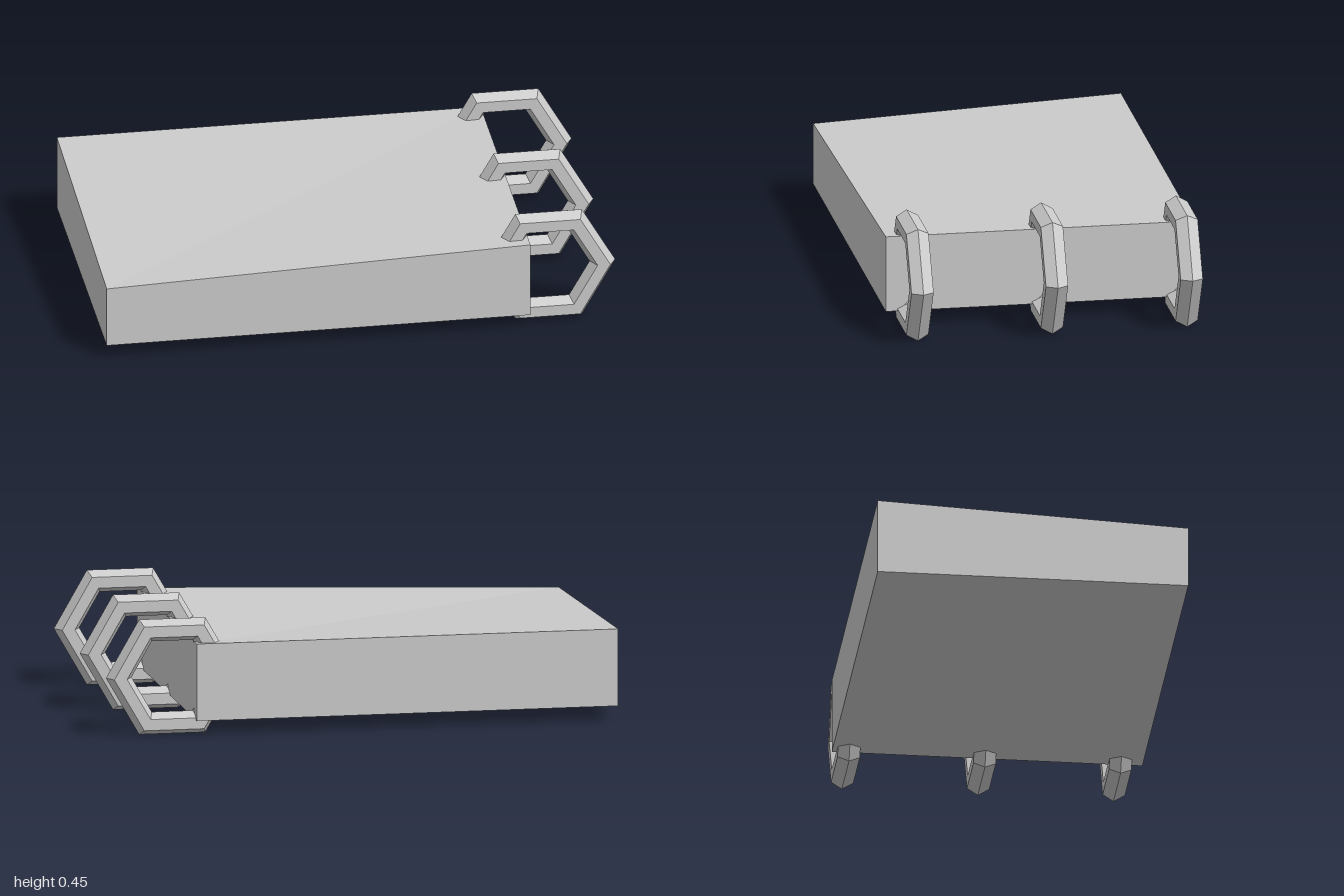
import * as THREE from 'three';

export function createModel() {
  const group = new THREE.Group();
  const material = new THREE.MeshStandardMaterial({ color: 0xcccccc, flatShading: true });

  // Slab whose front right top corner sags a little
  const slab = new THREE.BoxGeometry(1.655, 0.302, 1.204);
  slab.translate(-0.1725, 0.207, 0);
  const pos = slab.attributes.position;
  for (let i = 0; i < pos.count; i++) {
    if (pos.getX(i) < 0 && pos.getY(i) > 0.2 && pos.getZ(i) > 0) pos.setY(i, 0.3);
  }
  slab.computeVertexNormals();
  const cover = new THREE.Mesh(slab, material);
  cover.name = 'slab';
  group.add(cover);

  // Six-sided binding rings passing through the slab's left edge
  const ringGeometry = new THREE.TorusGeometry(0.21, 0.05, 6, 6);
  [0.513, -0.013, -0.54].forEach((z, i) => {
    const ring = new THREE.Mesh(ringGeometry, material);
    ring.name = `bindingRing${i + 1}`;
    ring.position.set(0.74, 0.225, z);
    group.add(ring);
  });

  return group;
}
